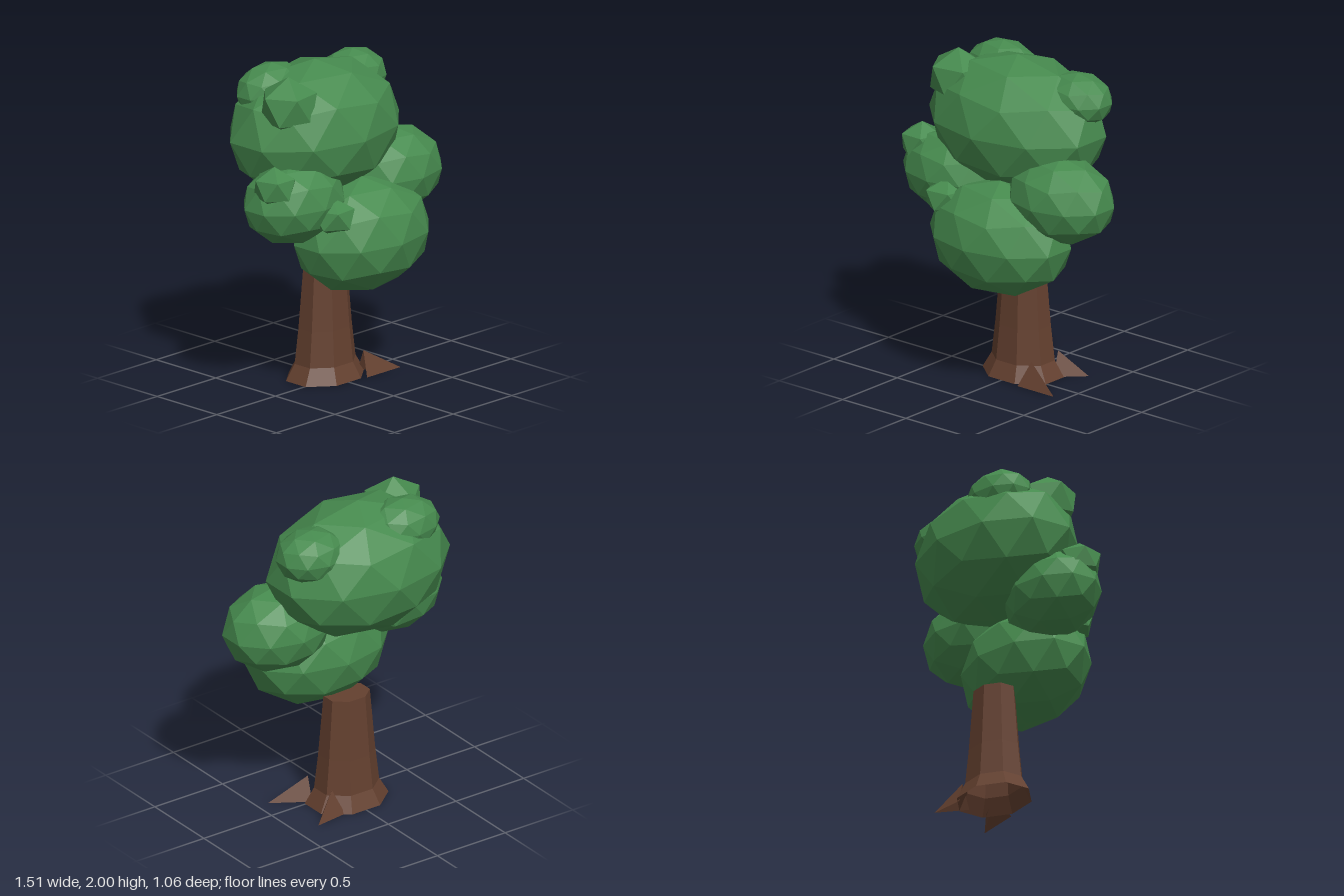
import * as THREE from 'three';

const leafMat = new THREE.MeshStandardMaterial({ color: 0x468a4e, flatShading: true });
const barkMat = new THREE.MeshStandardMaterial({ color: 0x64402f, flatShading: true, side: THREE.DoubleSide });

// Faceted ball standing on a vertex, with a ring vertex pointing along +x
function facetedBall(detail) {
  const geo = new THREE.IcosahedronGeometry(1, detail);
  const t = (1 + Math.sqrt(5)) / 2;
  const pole = new THREE.Vector3(0, 1, t).normalize();
  const turn = new THREE.Quaternion().setFromUnitVectors(pole, new THREE.Vector3(0, 1, 0));
  return geo.applyQuaternion(turn).rotateY(Math.PI / 2);
}

// Root: two bark faces running from the trunk down to a tip on the ground
function root(name, apex, tip, front, back) {
  const geo = new THREE.BufferGeometry();
  const corners = [apex, front, tip, apex, tip, back].flat();
  geo.setAttribute('position', new THREE.Float32BufferAttribute(corners, 3));
  geo.computeVertexNormals();
  const mesh = new THREE.Mesh(geo, barkMat);
  mesh.name = name;
  return mesh;
}

export function createModel() {
  const tree = new THREE.Group();
  tree.name = 'tree';

  // Eight-sided trunk, flared at the foot and open underneath
  const profile = [[0.27, 0], [0.21, 0.1], [0.184, 0.32], [0.15, 0.71], [0, 0.71]]
    .map(([r, y]) => new THREE.Vector2(r, y));
  const trunk = new THREE.Mesh(new THREE.LatheGeometry(profile, 8, Math.PI / 8), barkMat);
  trunk.name = 'trunk';
  trunk.scale.z = 0.8;
  trunk.position.z = -0.075;
  tree.add(trunk);

  // Two roots spreading from the left side
  tree.add(root('frontRoot', [0.185, 0.145, 0.065], [0.425, 0, 0.14], [0.14, 0, 0.14], [0.2, 0, 0]));
  tree.add(root('backRoot', [0.185, 0.15, -0.18], [0.35, 0, -0.27], [0.2, 0, -0.12], [0.13, 0, -0.24]));

  // Foliage: name, centre, radii, turn about y, ball detail
  const balls = [facetedBall(0), facetedBall(1)];
  const foliage = [
    ['crown', [-0.065, 1.575, -0.1], [0.615, 0.425, 0.43], 0, 1],
    ['frontFoliage', [0.045, 0.945, 0.185], [0.49, 0.355, 0.345], 0, 1],
    ['leftFoliage', [0.418, 1.235, 0.06], [0.36, 0.27, 0.28], 0, 1],
    ['rightFoliage', [-0.41, 1.225, 0.07], [0.36, 0.26, 0.265], 0, 1],
    ['crownFrontTuft', [-0.42, 1.81, 0.03], [0.2, 0.185, 0.185], 0.5, 0],
    ['crownBackTuft', [-0.295, 1.825, -0.235], [0.25, 0.175, 0.18], 0, 1],
    ['crownLeftTuft', [0.34, 1.79, -0.18], [0.23, 0.165, 0.19], 0, 1],
    ['rightTuft', [-0.63, 1.37, 0.12], [0.14, 0.13, 0.14], 0.3, 0],
    ['frontTuft', [-0.295, 1.145, 0.27], [0.15, 0.12, 0.16], 0.4, 0],
  ];
  for (const [name, centre, radii, turn, detail] of foliage) {
    const geo = balls[detail].clone().rotateY(turn).scale(...radii);
    const mesh = new THREE.Mesh(geo, leafMat);
    mesh.name = name;
    mesh.position.set(...centre);
    tree.add(mesh);
  }
  return tree;
}
